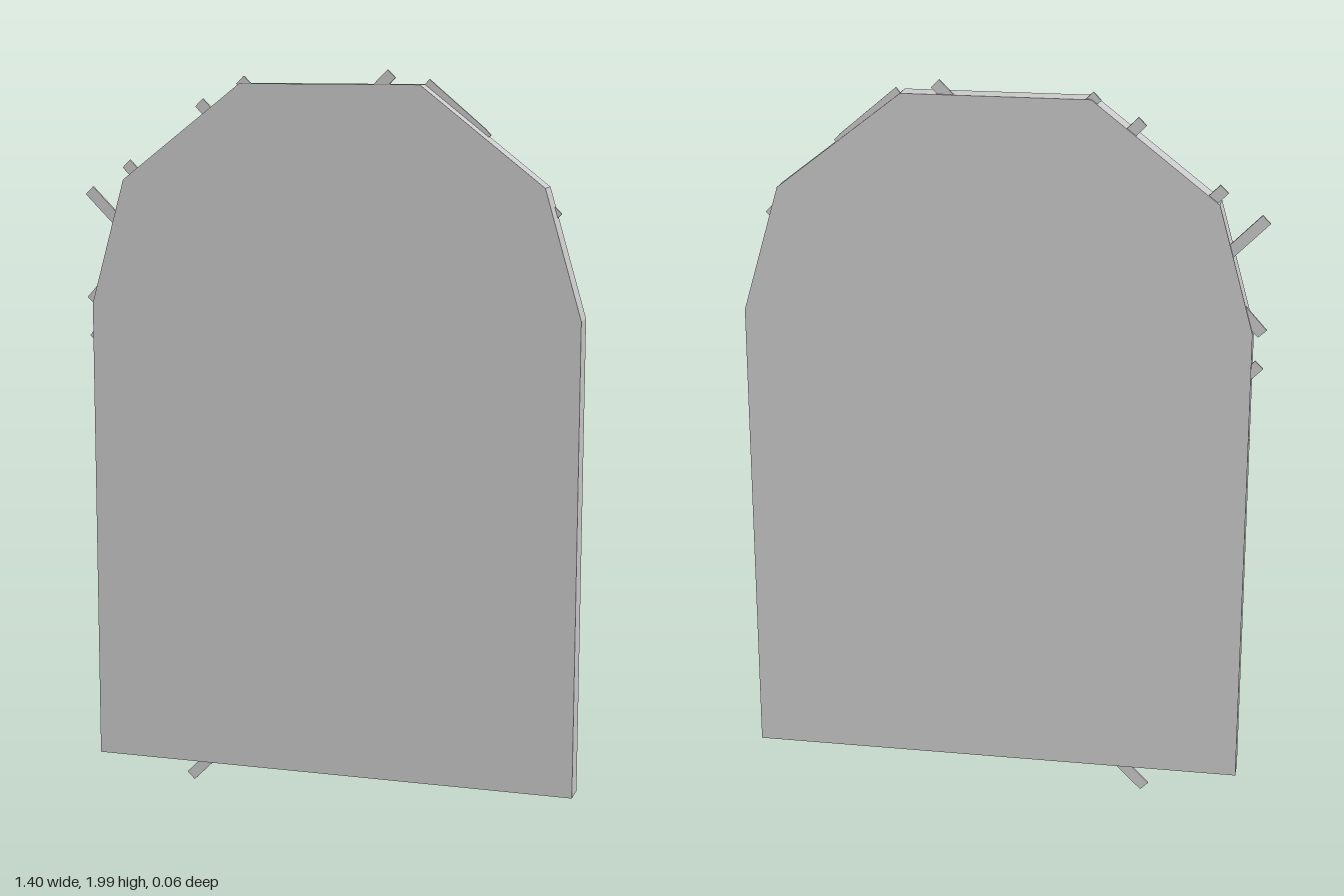
import * as THREE from 'three';

export function createModel() {
  const model = new THREE.Group();
  const material = new THREE.MeshStandardMaterial({ color: 0xcccccc, flatShading: true });

  // Upright slab with a faceted arched top
  const outline = [
    [-0.66, 0.075], [0.70, 0.075], [0.70, 1.36], [0.60, 1.70],
    [0.265, 1.96], [-0.23, 1.96], [-0.565, 1.70], [-0.66, 1.36],
  ].map(([x, y]) => new THREE.Vector2(x, y));
  const slabGeometry = new THREE.ExtrudeGeometry(new THREE.Shape(outline), { depth: 0.064, bevelEnabled: false });
  slabGeometry.translate(0, 0, -0.033);
  const slab = new THREE.Mesh(slabGeometry, material);
  slab.name = 'slab';
  model.add(slab);

  // Thin diagonal strips set in the slab near its back, tips showing past the edge:
  // tip x, tip y, angle into the slab in degrees, length, width
  const strips = [
    [-0.405, 0.015, 45, 0.25, 0.03],
    [-0.685, 1.665, -45, 0.25, 0.03],
    [-0.685, 1.36, 48, 0.12, 0.03],
    [-0.68, 1.275, -45, 0.2, 0.03],
    [-0.575, 1.74, -45, 0.2, 0.03],
    [-0.362, 1.907, -45, 0.2, 0.03],
    [-0.245, 1.968, -45, 0.2, 0.03],
    [0.175, 1.987, -135, 0.2, 0.03],
    [0.268, 1.962, -40, 0.2, 0.03],
    [0.435, 1.84, -135, 0.2, 0.025],
    [0.625, 1.64, -135, 0.2, 0.025],
    [-0.663, 1.06, 0, 0.1, 0.012],
  ];
  const group = new THREE.Group();
  group.name = 'strips';
  for (const [x, y, degrees, length, width] of strips) {
    const geometry = new THREE.BoxGeometry(length, width, 0.008);
    geometry.translate(length / 2, 0, 0);
    const strip = new THREE.Mesh(geometry, material);
    strip.name = 'strip';
    strip.position.set(x, y, -0.022);
    strip.rotation.z = THREE.MathUtils.degToRad(degrees);
    group.add(strip);
  }
  model.add(group);
  return model;
}
